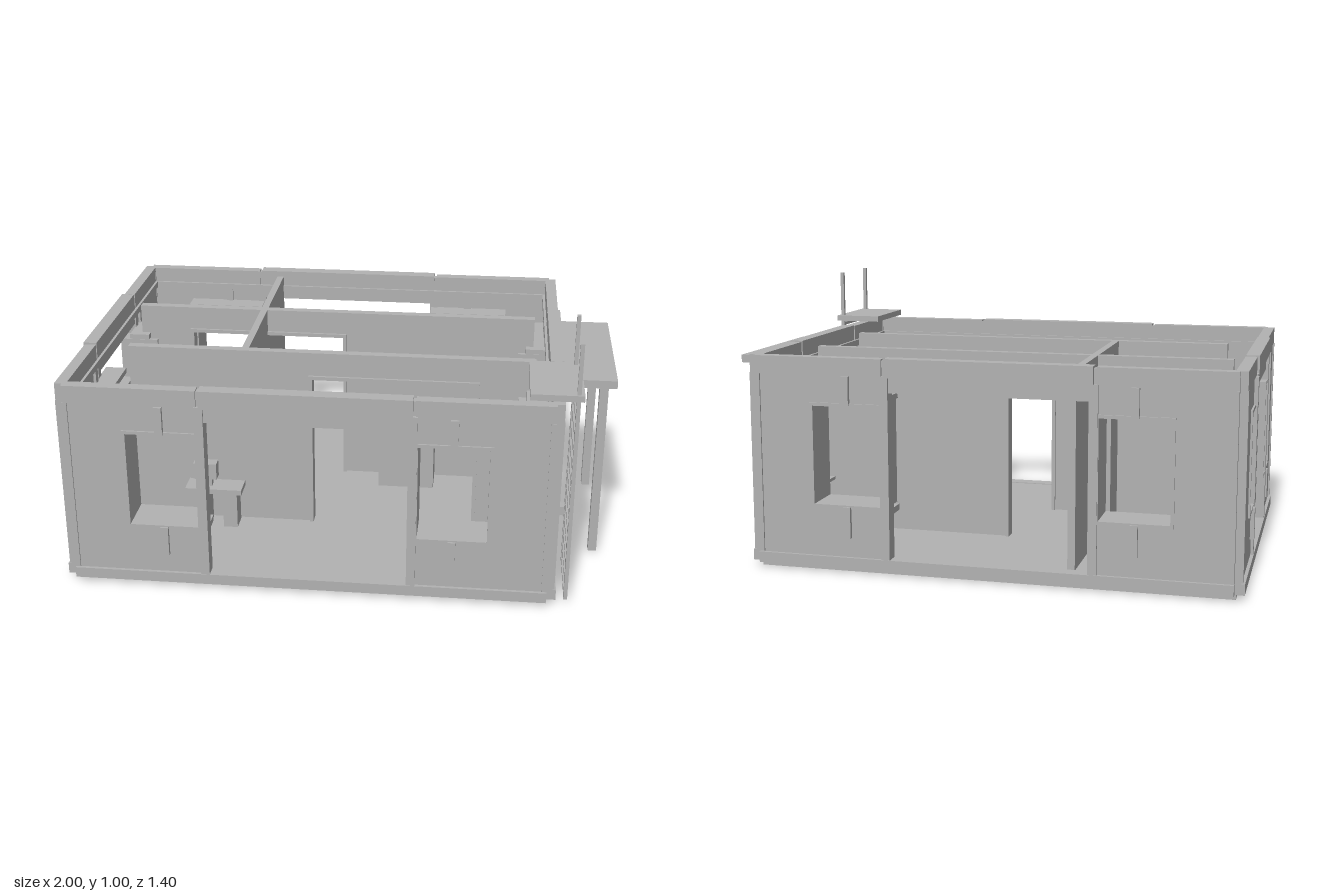
import * as THREE from 'three';

export function createModel() {
  const model = new THREE.Group();
  const grey = new THREE.MeshStandardMaterial({ color: 0xb2b2b2 });
  grey.name = 'plain grey';
  const CX = -0.095; // middle of the house in x

  // Box given by its limits on each axis
  function slab(parent, name, x0, x1, y0, y1, z0, z1) {
    const mesh = new THREE.Mesh(new THREE.BoxGeometry(x1 - x0, y1 - y0, z1 - z0), grey);
    mesh.position.set((x0 + x1) / 2, (y0 + y1) / 2, (z0 + z1) / 2);
    mesh.name = name;
    parent.add(mesh);
    return mesh;
  }

  // Box mirrored to both halves of a wall
  function pair(parent, name, u0, u1, y0, y1, z0, z1) {
    slab(parent, name, u0, u1, y0, y1, z0, z1);
    slab(parent, name, -u1, -u0, y0, y1, z0, z1);
  }

  // Window with a deep box frame, lintel, sill and small outer brackets
  function windowUnit(parent, u0, u1, d) {
    const inner = d - 0.16, outer = d - 0.005, t = 0.012, mid = (u0 + u1) / 2;
    pair(parent, 'windowJamb', u0 - t, u0, 0.25, 0.61, inner, outer);
    pair(parent, 'windowJamb', u1, u1 + t, 0.25, 0.61, inner, outer);
    pair(parent, 'windowHead', u0 - t, u1 + t, 0.61, 0.622, inner, outer);
    pair(parent, 'windowBottom', u0 - t, u1 + t, 0.238, 0.25, inner, outer);
    pair(parent, 'windowLintel', u0 - 0.03, u1 + 0.04, 0.63, 0.65, d - 0.13, d - 0.05);
    pair(parent, 'windowSill', u0 - 0.03, u1 + 0.04, 0.215, 0.238, d - 0.13, d - 0.05);
    pair(parent, 'lowerBracket', mid - 0.014, mid + 0.014, 0.13, 0.245, d - 0.06, d + 0.003);
    pair(parent, 'upperBracket', mid - 0.014, mid + 0.014, 0.615, 0.72, d - 0.06, d + 0.003);
  }

  // One outer wall, facing +z at distance d, with a wide opening and two windows
  function outerWall(name, half, open, w0, w1, d, angle) {
    const wall = new THREE.Group();
    wall.name = name;
    const zi = d - 0.05, zo = d - 0.012, edge = Math.max(w0, open);
    pair(wall, 'wallEnd', w1, half, 0.02, 0.725, zi, zo);
    pair(wall, 'wallBelowWindow', open, w1, 0.02, 0.25, zi, zo);
    pair(wall, 'wallAboveWindow', open, w1, 0.61, 0.725, zi, zo);
    if (edge > open) pair(wall, 'wallBesideOpening', open, edge, 0.25, 0.61, zi, zo);
    slab(wall, 'openingHeader', -open, open, 0.665, 0.725, zi, zo);
    pair(wall, 'pilaster', open, open + 0.032, 0.02, 0.725, d - 0.055, d - 0.002);
    pair(wall, 'cornerStrip', half - 0.018, half, 0.06, 0.72, zi, d - 0.006);
    slab(wall, 'baseBand', -half, half, 0.018, 0.058, d - 0.055, d);
    pair(wall, 'parapet', open + 0.025, half, 0.72, 0.785, d - 0.05, d - 0.008);
    slab(wall, 'parapetMiddle', -open - 0.015, open + 0.015, 0.72, 0.788, d - 0.05, d);
    pair(wall, 'parapetJoint', open + 0.012, open + 0.028, 0.72, 0.78, d - 0.045, d - 0.015);
    slab(wall, 'parapetInnerRail', -half + 0.02, half - 0.02, 0.70, 0.725, d - 0.06, d - 0.02);
    windowUnit(wall, w0, w1, d);
    wall.rotation.y = angle;
    wall.position.x = CX;
    model.add(wall);
  }
  outerWall('frontWall', 0.865, 0.36, 0.395, 0.645, 0.697, 0);
  outerWall('backWall', 0.865, 0.36, 0.395, 0.645, 0.697, Math.PI);
  outerWall('leftWall', 0.67, 0.265, 0.21, 0.46, 0.9, Math.PI / 2);
  outerWall('rightWall', 0.67, 0.265, 0.21, 0.46, 0.9, -Math.PI / 2);

  // Foundation and floor, with filled corners
  slab(model, 'foundation', -0.965, 0.77, 0, 0.02, -0.667, 0.667);
  slab(model, 'floor', -0.955, 0.765, 0.02, 0.055, -0.66, 0.66);
  for (const x of [-0.955, 0.765]) for (const z of [-0.655, 0.655])
    slab(model, 'cornerPost', x - 0.012, x + 0.012, 0.02, 0.78, z - 0.012, z + 0.012);

  // Long inner walls, each with a framed wide doorway
  function partition(name, z, x0, x1, o0, o1) {
    const g = new THREE.Group();
    g.name = name;
    const a = z - 0.017, b = z + 0.017, t = 0.014;
    slab(g, 'partitionEnd', x0, o0, 0.055, 0.765, a, b);
    slab(g, 'partitionEnd', o1, x1, 0.055, 0.765, a, b);
    slab(g, 'partitionHeader', o0, o1, 0.67, 0.765, a, b);
    slab(g, 'doorwayJamb', o0, o0 + t, 0.055, 0.67, z - 0.027, z + 0.027);
    slab(g, 'doorwayJamb', o1 - t, o1, 0.055, 0.67, z - 0.027, z + 0.027);
    slab(g, 'doorwayHead', o0, o1, 0.66, 0.674, z - 0.027, z + 0.027);
    model.add(g);
  }
  partition('frontPartition', 0.222, -0.835, 0.705, -0.145, 0.5);
  partition('backPartition', -0.23, -0.9, 0.705, -0.695, -0.05);

  // Cross wall with a doorway
  slab(model, 'crossWallBack', -0.402, -0.375, 0.055, 0.765, -0.645, -0.19);
  slab(model, 'crossWallFront', -0.402, -0.375, 0.055, 0.765, 0.05, 0.205);
  slab(model, 'crossWallHeader', -0.402, -0.375, 0.54, 0.765, -0.19, 0.05);

  // Small desk with a screen
  const desk = new THREE.Group();
  desk.name = 'desk';
  slab(desk, 'deskTop', -0.62, -0.4, 0.2, 0.22, 0.245, 0.335);
  slab(desk, 'deskLeg', -0.59, -0.53, 0.055, 0.2, 0.25, 0.325);
  slab(desk, 'deskLeg', -0.475, -0.42, 0.055, 0.2, 0.25, 0.325);
  slab(desk, 'screenFoot', -0.57, -0.52, 0.22, 0.25, 0.275, 0.305);
  slab(desk, 'screen', -0.59, -0.5, 0.25, 0.315, 0.265, 0.31);
  model.add(desk);

  // Cabinet with a small device on top
  const cabinet = new THREE.Group();
  cabinet.name = 'cabinet';
  slab(cabinet, 'cabinetBody', 0.095, 0.32, 0.055, 0.318, -0.208, -0.09);
  slab(cabinet, 'device', 0.2, 0.3, 0.318, 0.345, -0.165, -0.105);
  for (let i = 0; i < 3; i++)
    slab(cabinet, 'deviceKey', 0.21 + i * 0.03, 0.23 + i * 0.03, 0.345, 0.357, -0.16, -0.11);
  model.add(cabinet);

  // Side canopy on two posts
  const canopy = new THREE.Group();
  canopy.name = 'canopy';
  slab(canopy, 'canopyRoof', 0.785, 1, 0.7, 0.73, -0.308, 0.308);
  for (const z of [-0.28, 0.28])
    slab(canopy, 'canopyPost', 0.938, 0.97, 0.018, 0.7, z - 0.016, z + 0.016);
  model.add(canopy);

  // Ladder with a landing
  const ladder = new THREE.Group();
  ladder.name = 'ladder';
  for (const z of [0.38, 0.657])
    slab(ladder, 'ladderRail', 0.833, 0.847, 0.018, 1.005, z - 0.007, z + 0.007);
  for (let i = 0; i < 13; i++)
    slab(ladder, 'ladderRung', 0.834, 0.846, 0.018 + i * 0.0633, 0.03 + i * 0.0633, 0.387, 0.65);
  slab(ladder, 'landing', 0.675, 0.86, 0.797, 0.82, 0.362, 0.67);
  model.add(ladder);

  // Small bracket on the side wall beside the ladder
  slab(model, 'sideBracketArm', 0.79, 0.86, 0.208, 0.243, 0.342, 0.378);
  slab(model, 'sideBracketPlate', 0.848, 0.858, 0.208, 0.4, 0.342, 0.378);

  return model;
}
